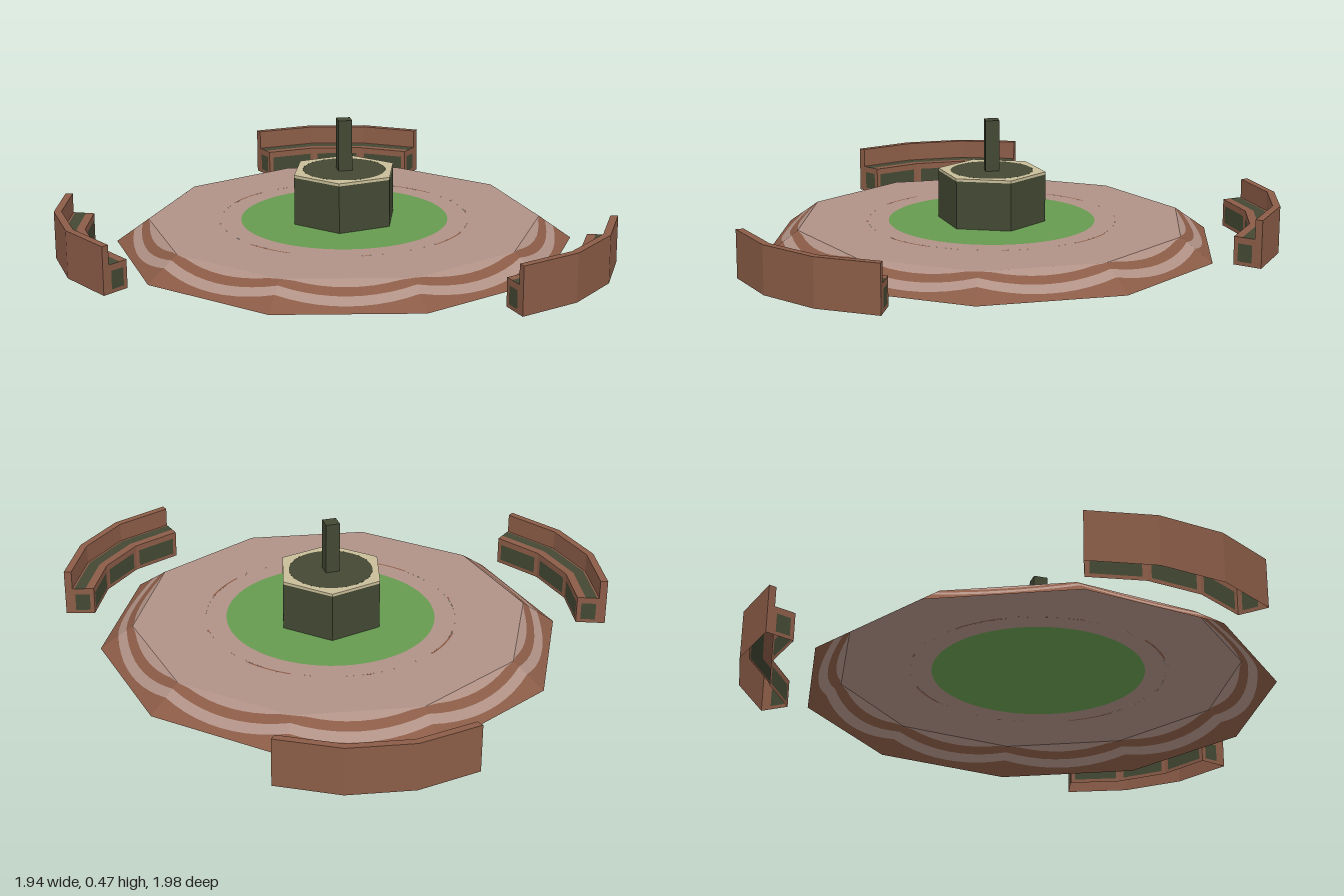
import * as THREE from 'three';

const mat = (name, color) => {
  const m = new THREE.MeshStandardMaterial({ color, side: THREE.DoubleSide, flatShading: true });
  m.name = name;
  return m;
};

export function createModel() {
  const paving = mat('pinkPaving', 0xb09186);
  const brick = mat('brownBrick', 0x8b5c47);
  const grass = mat('grassGreen', 0x669a4f);
  const dark = mat('darkGreen', 0x434833);
  const stone = mat('paleStone', 0xc8bd98);

  const model = new THREE.Group();
  const add = (parent, name, geo, material) => {
    const m = new THREE.Mesh(geo, material);
    m.name = name;
    parent.add(m);
    return m;
  };

  // Turns a list of four-cornered faces into one geometry
  const quads = (list) => {
    const p = [];
    for (const [a, b, c, d] of list) for (const v of [a, b, c, a, c, d]) p.push(...v);
    const g = new THREE.BufferGeometry();
    g.setAttribute('position', new THREE.Float32BufferAttribute(p, 3));
    g.computeVertexNormals();
    return g;
  };
  const flat = (geo, y) => geo.rotateX(-Math.PI / 2).translate(0, y, 0);
  const polygon = (n, r) => new THREE.Shape(Array.from({ length: n }, (_, i) =>
    new THREE.Vector2(r * Math.cos(i * 2 * Math.PI / n), r * Math.sin(i * 2 * Math.PI / n))));
  const holed = (n, r, hole) => {
    const s = polygon(n, r);
    s.holes.push(new THREE.Path().absarc(0, 0, hole, 0, Math.PI * 2, true));
    return new THREE.ShapeGeometry(s, 40);
  };

  // ---- Plaza: ten-sided mound, open underneath ----
  const plaza = new THREE.Group();
  plaza.name = 'plaza';
  plaza.position.x = -0.09;
  model.add(plaza);
  const H = 0.087, R0 = 0.74, R1 = 0.862, half = Math.PI / 10;
  add(plaza, 'lawn', flat(new THREE.CircleGeometry(0.39, 80), H), grass);
  add(plaza, 'innerPaving', flat(new THREE.RingGeometry(0.39, 0.467, 80), H), paving);
  add(plaza, 'outerPaving', flat(holed(10, R0, 0.474), H), paving);

  // Thin dashed ring in the paving
  for (let i = 0; i < 8; i++) {
    const w = i % 2 ? 0.02 : 0.19, next = i % 2 ? 0.19 : 0.02, a = i * Math.PI / 4;
    const arc = (from, to) => flat(new THREE.RingGeometry(0.467, 0.474, 12, 1, from, to - from), H);
    add(plaza, 'ringDash', arc(a - w, a + w), brick);
    add(plaza, 'ringGap', arc(a + w, a + Math.PI / 4 - next), paving);
  }

  // Sloped rim with round bands cut by the flat sides
  const d0 = R0 * Math.cos(half), d1 = R1 * Math.cos(half);
  const limits = [0, 0.733, 0.763, 0.795, 2];
  const bands = { paving: [], brick: [] };
  const steps = 10;
  for (let side = 0; side < 10; side++) {
    const mid = (side + 0.5) * 2 * half;
    for (let s = 0; s < steps; s++) {
      const phi = [s, s + 1].map((k) => -half + 2 * half * k / steps);
      for (let b = 0; b < 4; b++) {
        const point = (f, lim) => {
          const r = Math.min(Math.max(lim, d0 / Math.cos(f)), d1 / Math.cos(f));
          const y = H * (d1 - r * Math.cos(f)) / (d1 - d0);
          return [r * Math.cos(mid + f), y, -r * Math.sin(mid + f)];
        };
        bands[b % 2 ? 'brick' : 'paving'].push([
          point(phi[0], limits[b]), point(phi[0], limits[b + 1]),
          point(phi[1], limits[b + 1]), point(phi[1], limits[b])]);
      }
    }
  }
  add(plaza, 'rimLightBands', quads(bands.paving), paving);
  add(plaza, 'rimBrownBands', quads(bands.brick), brick);

  // ---- Hexagonal pedestal with post ----
  const prism = (n, r, y0, y1, open) =>
    new THREE.CylinderGeometry(r, r, y1 - y0, n, 1, open, Math.PI / 2).translate(0, (y0 + y1) / 2, 0);
  add(plaza, 'pedestal', prism(6, 0.205, H, 0.267, true), dark);
  add(plaza, 'pedestalLip', prism(6, 0.205, 0.267, 0.277, true), stone);
  add(plaza, 'pedestalRim', flat(holed(6, 0.205, 0.155), 0.277), stone);
  add(plaza, 'pedestalTop', flat(new THREE.CircleGeometry(0.155, 40), 0.277), dark);
  add(plaza, 'post', prism(4, 0.037, 0.277, 0.47, false), dark);

  // ---- Curved benches, hollow and open underneath ----
  const benchFaces = () => {
    const frame = [], panel = [];
    const P = (r, y, a) => [r * Math.cos(a), y, -r * Math.sin(a)];
    const mix = (a, b, t) => a.map((v, i) => v + (b[i] - v) * t);
    // A face with a dark panel inside a brown frame
    const framed = (a, b, c, d, u0, u1, v0, v1) => {
      const at = (u, v) => mix(mix(a, b, u), mix(d, c, u), v);
      const cell = (p, q, r, s) => [at(p, r), at(q, r), at(q, s), at(p, s)];
      frame.push(cell(0, 1, 0, v0), cell(0, 1, v1, 1), cell(0, u0, v0, v1), cell(u1, 1, v0, v1));
      panel.push(cell(u0, u1, v0, v1));
    };
    const rIn = 0.57, rBack = 0.652, rOut = 0.68, seat = 0.105, top = 0.178, step = 0.356;
    for (let i = 0; i < 3; i++) {
      const a = (i - 1.5) * step, b = a + step;
      const strip = (r0, y0, r1, y1) => [P(r0, y0, a), P(r0, y0, b), P(r1, y1, b), P(r1, y1, a)];
      frame.push(strip(rOut, top, rOut, 0), strip(rBack, top, rOut, top), strip(rBack, seat, rBack, top));
      frame.push(strip(rIn, seat, 0.602, seat), strip(0.645, seat, rBack, seat));
      panel.push(strip(0.602, seat, 0.645, seat));
      framed(...strip(rIn, 0, rIn, seat), 0.08, 0.92, 0.13, 0.77);
    }
    for (const e of [-1.5 * step, 1.5 * step]) {
      framed(P(rIn, 0, e), P(rBack, 0, e), P(rBack, seat, e), P(rIn, seat, e), 0.2, 0.88, 0.13, 0.77);
      frame.push([P(rBack, 0, e), P(rOut, 0, e), P(rOut, top, e), P(rBack, top, e)]);
    }
    return [quads(frame), quads(panel)];
  };
  const [frameGeo, panelGeo] = benchFaces();
  const turn = 125.8 * Math.PI / 180;
  for (const [name, x, z, angle] of [
    ['leftBench', 0.3, 0.007, 0], ['backBench', -0.343, -0.315, turn], ['frontBench', -0.343, 0.315, -turn]]) {
    const bench = new THREE.Group();
    bench.name = name;
    bench.position.set(x, 0, z);
    bench.rotation.y = angle;
    add(bench, 'benchFrame', frameGeo, brick);
    add(bench, 'benchPanels', panelGeo, dark);
    model.add(bench);
  }
  return model;
}
